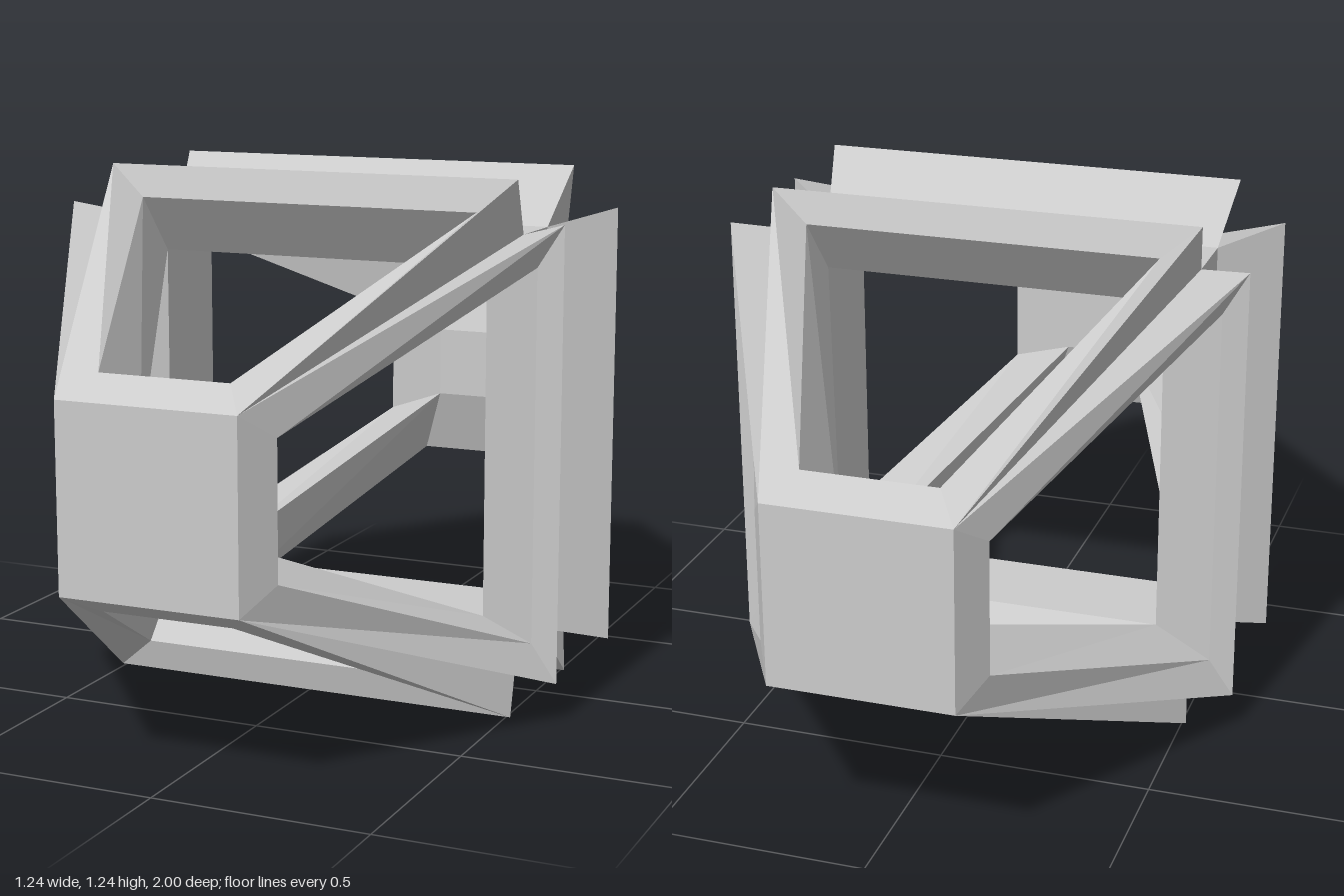
import * as THREE from 'three';

const material = new THREE.MeshStandardMaterial({ color: 0xcccccc, flatShading: true });

// Flat-shaded mesh from convex polygons given as lists of corners
function polyMesh(name, polys) {
  const pos = [];
  for (const p of polys)
    for (let i = 1; i < p.length - 1; i++) pos.push(...p[0], ...p[i], ...p[i + 1]);
  const geo = new THREE.BufferGeometry();
  geo.setAttribute('position', new THREE.Float32BufferAttribute(pos, 3));
  geo.computeVertexNormals();
  const mesh = new THREE.Mesh(geo, material);
  mesh.name = name;
  return mesh;
}

const CENTER_Y = 0.62;
const SIDES = ['top', 'left', 'bottom', 'right'];

// Point on side k: w across the side, r outward from the long axis, z along it
function place(k, w, r, z) {
  const a = -k * Math.PI / 2, c = Math.round(Math.cos(a)), s = Math.round(Math.sin(a));
  return [w * c - r * s, w * s + r * c + CENTER_Y, z];
}

// Key points of one window frame on side k of the front (s = 1) or back (s = -1)
function framePoints(k, s) {
  const upright = k % 2 === 1;
  const mid = z => (s > 0 ? z : 0.03 - z);
  const pair = (w, r, z) => [place(k, -w, r, z), place(k, w, r, z)];
  return {
    cap: pair(0.21, 0.21, s),
    capRim: pair(0.153, 0.257, 0.915 * s),
    capInner: pair(0.09, 0.09, 0.855 * s),
    peak: pair(upright ? 0.525 : 0.51, 0.62, mid(0.21)),
    rim: pair(upright ? 0.43 : 0.42, upright ? 0.565 : 0.545, mid(0.23)),
    inner: pair(0.41, 0.41, mid(0.13)),
    belt: pair(0.485, 0.485, mid(0.098)),
  };
}

function windowFrame(k, s) {
  const p = framePoints(k, s);
  const loop = (m, c) => [m[0], c[0], c[1], m[1]];
  const loops = [loop(p.peak, p.cap), loop(p.rim, p.capRim), loop(p.inner, p.capInner)];
  const polys = [];
  // sloping rim, then the wall of the opening
  for (let l = 0; l < 2; l++)
    for (let i = 0; i < 4; i++) {
      const j = (i + 1) % 4;
      polys.push([loops[l][i], loops[l][j], loops[l + 1][j], loops[l + 1][i]]);
    }
  // face toward the belt and the two grooved flanks
  polys.push([p.belt[0], p.peak[0], p.peak[1], p.belt[1]]);
  polys.push([p.peak[0], p.belt[0], p.cap[0]], [p.peak[1], p.cap[1], p.belt[1]]);
  if (s < 0) polys.forEach(q => q.reverse());
  return polyMesh(`${SIDES[k]}WindowFrame`, polys);
}

// Square end plate, flat outside and inside
function endCap(s) {
  const outer = [], inner = [];
  for (let k = 0; k < 4; k++) {
    const p = framePoints(k, s);
    outer.push(p.cap[0]);
    inner.push(p.capInner[0]);
  }
  (s > 0 ? outer : inner).reverse();
  return polyMesh('endCap', [outer, inner]);
}

// Square band joining the two halves
function centerBelt() {
  const polys = [];
  for (let k = 0; k < 4; k++) {
    const f = framePoints(k, 1), b = framePoints(k, -1);
    polys.push([b.belt[0], f.belt[0], f.belt[1], b.belt[1]]);
    polys.push([b.inner[1], f.inner[1], f.inner[0], b.inner[0]]);
  }
  return polyMesh('centerBelt', polys);
}

export function createModel() {
  const model = new THREE.Group();
  model.name = 'framedCabin';
  for (const s of [1, -1]) {
    const half = new THREE.Group();
    half.name = s > 0 ? 'frontHalf' : 'backHalf';
    for (let k = 0; k < 4; k++) half.add(windowFrame(k, s));
    half.add(endCap(s));
    model.add(half);
  }
  model.add(centerBelt());
  return model;
}
